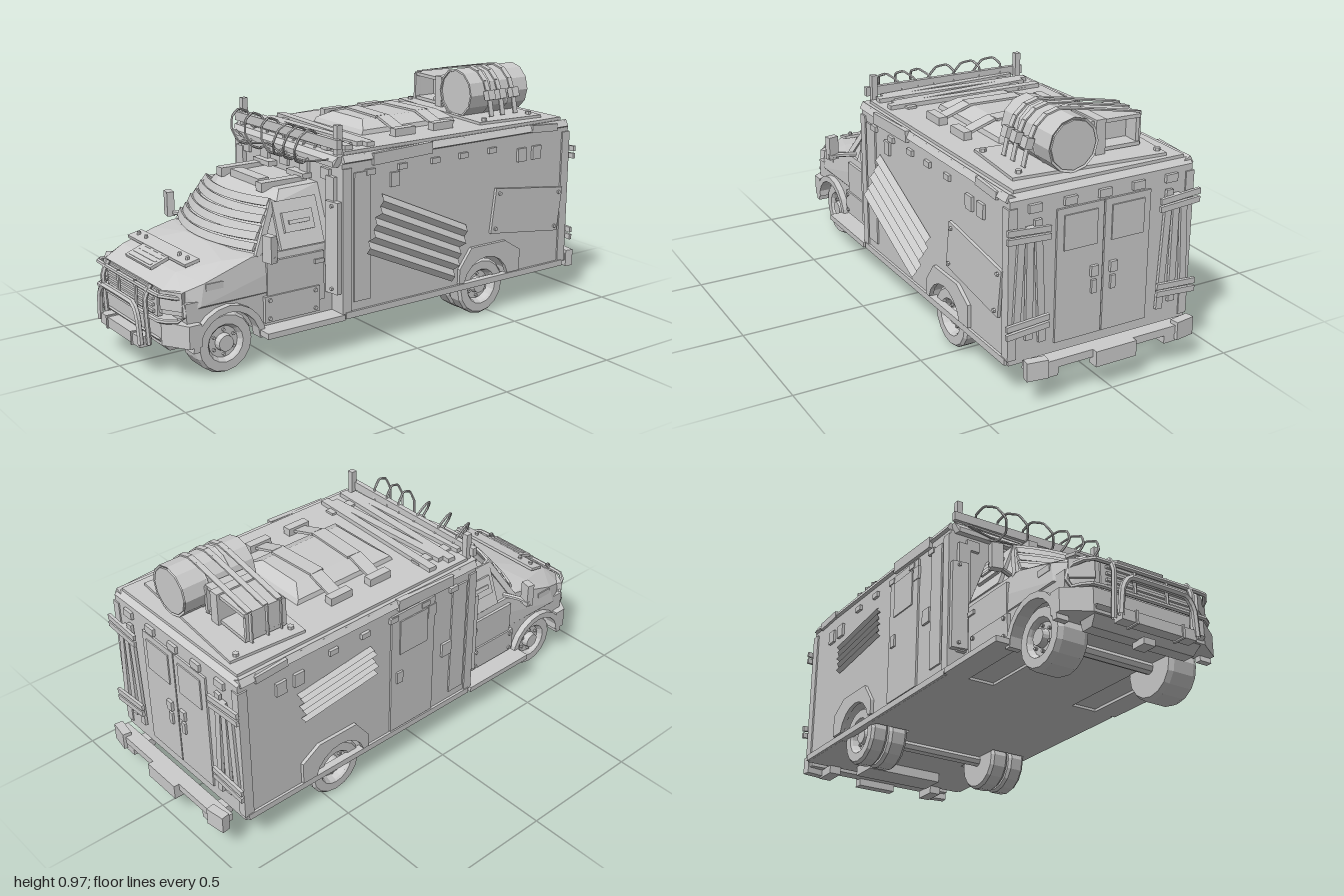
import * as THREE from 'three';
import { ConvexGeometry } from 'three/addons/geometries/ConvexGeometry.js';

const V = (x, y, z) => new THREE.Vector3(x, y, z);
const SIDES = [1, -1];

export function createModel() {
  const root = new THREE.Group(), vehicle = new THREE.Group();
  vehicle.name = 'vehicle';
  vehicle.position.x = -0.012; // loose gear makes the left side stick out further
  root.add(vehicle);
  const mat = new THREE.MeshStandardMaterial({ color: 0xcccccc, flatShading: true, side: THREE.DoubleSide });
  let parent = vehicle;
  const add = (name, geo, x = 0, y = 0, z = 0, rx = 0, ry = 0, rz = 0) => {
    const m = new THREE.Mesh(geo, mat);
    m.name = name;
    m.position.set(x, y, z);
    m.rotation.set(rx, ry, rz);
    parent.add(m);
    return m;
  };
  const box = (name, w, h, d, x, y, z, rx, ry, rz) => add(name, new THREE.BoxGeometry(w, h, d), x, y, z, rx, ry, rz);
  const cyl = (name, r, h, n, x, y, z, rx, ry, rz) => add(name, new THREE.CylinderGeometry(r, r, h, n), x, y, z, rx, ry, rz);
  // convex solid mirrored about x = 0
  const hull = (name, pts) => add(name, new ConvexGeometry(pts.flatMap(([x, y, z]) => [V(x, y, z), V(-x, y, z)])));
  // pipe through points with tight corners
  const pipe = (name, pts, r, closed = false) => {
    const curve = new THREE.CatmullRomCurve3(pts.map(p => V(...p)), closed, 'catmullrom', 0.15);
    return add(name, new THREE.TubeGeometry(curve, pts.length * 4, r, 6, closed));
  };
  // flat bar between two points
  const bar = (name, a, b, w, t) => {
    const p = V(...a), q = V(...b);
    const m = box(name, w, t, p.distanceTo(q), 0, 0, 0);
    m.position.copy(p).lerp(q, 0.5);
    m.quaternion.setFromRotationMatrix(new THREE.Matrix4().lookAt(q, p, V(0, 1, 0)));
    return m;
  };
  // side outline (z, y) extruded across the vehicle
  const sideSolid = (name, pts, width, x = 0) => {
    const g = new THREE.ExtrudeGeometry(new THREE.Shape(pts.map(p => new THREE.Vector2(...p))), { depth: width, bevelEnabled: false });
    g.translate(0, 0, -width / 2).rotateY(-Math.PI / 2);
    return add(name, g, x);
  };
  const arch = (cz, cy, r, a0, a1, n = 8) => Array.from({ length: n + 1 }, (_, i) => {
    const a = a0 + (a1 - a0) * i / n;
    return [cz + r * Math.cos(a), cy + r * Math.sin(a)];
  });

  // ---- rear body with wheel wells
  const well = arch(-0.45, 0.13, 0.125, Math.PI, 0);
  sideSolid('rearBody', [[-0.89, 0.13], ...well, [0.255, 0.13], [0.255, 0.725], [0.23, 0.755], [-0.87, 0.755], [-0.89, 0.735]], 0.75);
  box('underbody', 0.4, 0.17, 1.1, 0, 0.215, -0.32);
  box('cabFloor', 0.36, 0.16, 0.6, 0, 0.21, 0.53);
  box('roofCap', 0.7, 0.02, 1.1, 0, 0.757, -0.32);
  for (const s of SIDES) {
    box('roofRail', 0.03, 0.03, 1.13, s * 0.366, 0.74, -0.315, 0, 0, s * 0.5);
    box('roofEdgeBoard', 0.022, 0.045, 0.28, s * 0.378, 0.735, -0.02, 0.03);
    box('roofRearBoard', 0.018, 0.03, 0.14, s * 0.378, 0.74, -0.75, -0.06);
    box('bottomSkirt', 0.03, 0.025, 1.12, s * 0.37, 0.143, -0.32);
    box('step', 0.1, 0.022, 0.34, s * 0.34, 0.14, 0.42);
    for (const z of [0.235, -0.875]) box('cornerPost', 0.035, 0.56, 0.04, s * 0.364, 0.43, z);
    box('sideFrontPanel', 0.012, 0.5, 0.075, s * 0.376, 0.44, 0.165);
    box('frontCornerArmour', 0.065, 0.355, 0.025, s * 0.343, 0.408, 0.27, 0, s * 0.15);
    for (const y of [0.25, 0.57]) cyl('armourBolt', 0.007, 0.012, 6, s * 0.35, y, 0.284, Math.PI / 2);
    box('frontInnerPost', 0.05, 0.45, 0.02, s * 0.32, 0.45, 0.262);
    for (const z of [-0.63, -0.71]) box('sideLamp', 0.012, 0.055, 0.045, s * 0.38, 0.645, z);
    for (const z of [0.13, -0.02, -0.18, -0.32, -0.47]) box('markerLamp', 0.014, 0.022, 0.04, s * 0.38, 0.685, z);
    box('cornerLamp', 0.012, 0.055, 0.04, s * 0.38, 0.64, 0.015);
    // rear wheel arch plates
    sideSolid('rearArchPlate', [[-0.63, 0.16], [-0.57, 0.16], ...arch(-0.45, 0.13, 0.12, Math.PI * 0.92, Math.PI * 0.08),
      [-0.31, 0.16], [-0.31, 0.22], [-0.37, 0.3], [-0.55, 0.3], [-0.63, 0.25]], 0.018, s * 0.38);
  }
  for (const x of [-0.28, -0.14, 0, 0.14, 0.28]) {
    box('frontMarkerLamp', 0.055, 0.042, 0.02, x, 0.677, 0.258);
    box('rearMarkerLamp', 0.05, 0.03, 0.02, x, 0.7, -0.892);
  }
  hull('frontVisor', [[0.365, 0.755, 0.2], [0.365, 0.755, 0.265], [0.37, 0.715, 0.2], [0.35, 0.715, 0.28], [0.35, 0.735, 0.28]]);

  // ---- cab: lower shell, hood and glasshouse
  sideSolid('lowerCab', [[0.25, 0.14], [0.57, 0.14], ...arch(0.715, 0.12, 0.13, Math.PI * 0.95, Math.PI * 0.07), [0.87, 0.16], [0.88, 0.3], [0.25, 0.3]], 0.62);
  hull('hood', [[0.31, 0.28, 0.25], [0.315, 0.28, 0.82], [0.29, 0.25, 0.88], [0.22, 0.25, 0.925], [0.305, 0.42, 0.25], [0.3, 0.42, 0.6],
    [0.305, 0.36, 0.8], [0.285, 0.335, 0.88], [0.26, 0.415, 0.7], [0.08, 0.435, 0.66], [0.21, 0.39, 0.86], [0.23, 0.34, 0.925]]);
  hull('glasshouse', [[0.3, 0.41, 0.25], [0.293, 0.41, 0.57], [0.2, 0.415, 0.625], [0.08, 0.42, 0.65], [0.235, 0.585, 0.45], [0.12, 0.595, 0.5],
    [0.205, 0.625, 0.42], [0.215, 0.63, 0.25]]);
  for (let i = 0; i < 6; i++) { // bowed armour slats over the windscreen
    const y = 0.452 + i * 0.027, g = new THREE.BoxGeometry(0.56 - i * 0.019, 0.031, 0.01, 8, 1, 1);
    g.rotateX(-0.45);
    const p = g.attributes.position;
    for (let k = 0; k < p.count; k++) p.setZ(k, p.getZ(k) - 0.95 * p.getX(k) ** 2);
    add('windscreenSlat', g, 0, y, 0.677 - (y - 0.42) * 0.86, 0, 0, (i % 2 - 0.5) * 0.03);
  }
  box('hoodPlate', 0.45, 0.012, 0.06, 0, 0.415, 0.8, 0.2);
  box('hoodVentFrame', 0.2, 0.012, 0.09, 0, 0.395, 0.86, 0.35);
  for (let i = 0; i < 4; i++) box('hoodVentSlat', 0.17, 0.012, 0.01, 0, 0.407 - i * 0.007, 0.83 + i * 0.02, 0.35);
  for (const x of [-0.19, -0.13, 0.13, 0.19]) cyl('hoodBolt', 0.008, 0.02, 6, x, 0.422, 0.8);
  for (const s of SIDES) {
    box('windscreenPillar', 0.014, 0.22, 0.025, s * 0.263, 0.505, 0.52, -0.53, 0, s * 0.3);
    box('doorWindowFrame', 0.018, 0.18, 0.19, s * 0.266, 0.505, 0.38, 0, 0, s * 0.36);
    box('doorWindowPlate', 0.02, 0.075, 0.13, s * 0.274, 0.515, 0.385, 0, 0, s * 0.36);
    box('windowSlot', 0.02, 0.015, 0.09, s * 0.281, 0.515, 0.385, 0, 0, s * 0.36);
    box('doorPanel', 0.014, 0.19, 0.25, s * 0.31, 0.3, 0.42);
    box('doorArmour', 0.014, 0.1, 0.24, s * 0.317, 0.215, 0.44);
    for (const z of [0.34, 0.54]) for (const y of [0.18, 0.25]) cyl('doorRivet', 0.008, 0.012, 6, s * 0.325, y, z, 0, 0, Math.PI / 2);
    box('doorHandle', 0.014, 0.016, 0.04, s * 0.318, 0.36, 0.32);
    box('fenderVent', 0.012, 0.025, 0.07, s * 0.305, 0.345, 0.76);
    const ring = [...arch(0.715, 0.12, 0.15, 0, Math.PI, 10), ...arch(0.715, 0.12, 0.125, Math.PI, 0, 10)];
    sideSolid('fenderFlare', ring, 0.05, s * 0.31);
    // mirror on its arm
    pipe('mirrorArm', [[s * 0.28, 0.43, 0.53], [s * 0.35, 0.43, 0.56], [s * 0.4, 0.43, 0.56]], 0.01);
    box('mirror', 0.045, 0.1, 0.03, s * 0.377, 0.465, 0.57, 0, s * 0.2);
    box('roofBar', 0.04, 0.035, 0.2, s * 0.145, 0.628, 0.37);
    box('roofBarBracket', 0.115, 0.02, 0.04, s * 0.12, 0.648, 0.275);
    box('headlamp', 0.09, 0.07, 0.05, s * 0.25, 0.305, 0.89, 0, s * 0.55);
  }
  box('roofLightBar', 0.2, 0.03, 0.05, 0, 0.63, 0.42);

  // ---- front end: grille, bumper and bull bar
  box('grilleFrame', 0.4, 0.1, 0.02, 0, 0.285, 0.922);
  for (let i = 0; i < 4; i++) box('grilleBar', 0.36, 0.01, 0.02, 0, 0.25 + i * 0.024, 0.932);
  hull('frontBumper', [[0.335, 0.14, 0.83], [0.335, 0.225, 0.83], [0.335, 0.14, 0.88], [0.335, 0.225, 0.88], [0.24, 0.14, 0.94], [0.24, 0.23, 0.94]]);
  hull('skidPlate', [[0.235, 0.165, 0.952], [0.22, 0.105, 0.9], [0.235, 0.165, 0.85], [0.22, 0.105, 0.85]]);
  box('towBlock', 0.05, 0.025, 0.06, 0, 0.095, 0.9);
  box('bullBarBase', 0.32, 0.04, 0.045, 0, 0.135, 0.965);
  pipe('bullBarHoop', [[-0.165, 0.13, 0.985], [-0.155, 0.23, 0.988], [-0.12, 0.275, 0.988], [0.12, 0.275, 0.988], [0.155, 0.23, 0.988], [0.165, 0.13, 0.985]], 0.012);
  pipe('bullBarRails', [[-0.29, 0.235, 0.89], [-0.24, 0.235, 0.95], [0.24, 0.235, 0.95], [0.29, 0.235, 0.89], [0.305, 0.25, 0.88],
    [0.29, 0.315, 0.88], [0.24, 0.33, 0.95], [-0.24, 0.33, 0.95], [-0.29, 0.315, 0.88], [-0.305, 0.25, 0.88]], 0.009, true);
  for (const s of SIDES) {
    pipe('bullBarPost', [[s * 0.17, 0.125, 0.955], [s * 0.17, 0.3, 0.965], [s * 0.17, 0.35, 0.94]], 0.01);
    pipe('bullBarStay', [[s * 0.07, 0.23, 0.95], [s * 0.07, 0.34, 0.95]], 0.007);
    box('bullBarClamp', 0.01, 0.05, 0.055, s * 0.1, 0.135, 0.965);
  }

  // ---- wheels
  const wheel = (name, s, x, z, width, dish) => {
    const h = width / 2, r = 0.117;
    const prof = [[0, -h], [0.075, -h], [r * 0.92, -h], [r, -h * 0.7], [r, h * 0.7], [r * 0.92, h], [0.073, h], [0.066, h - 0.008],
      [0.06, h - dish], [0.034, h - dish], [0.03, h - dish + 0.025], [0, h - dish + 0.025]];
    const g = new THREE.LatheGeometry(prof.map(p => new THREE.Vector2(...p)), 16);
    const m = add(name, g, s * x, 0.117, z, 0, 0, -s * Math.PI / 2);
    for (let i = 0; i < 6; i++) {
      const a = i * Math.PI / 3, nut = new THREE.Mesh(new THREE.CylinderGeometry(0.006, 0.006, 0.02, 6), mat);
      nut.name = 'wheelNut';
      nut.position.set(0.047 * Math.cos(a), h - dish, 0.047 * Math.sin(a));
      m.add(nut);
    }
  };
  for (const s of SIDES) {
    wheel('frontWheel', s, 0.238, 0.715, 0.125, 0.02);
    wheel('rearOuterWheel', s, 0.326, -0.45, 0.072, 0.035);
    wheel('rearInnerWheel', s, 0.243, -0.45, 0.08, 0.02);
  }
  for (const z of [0.715, -0.45]) cyl('axle', 0.024, 0.5, 8, 0, 0.117, z, 0, 0, Math.PI / 2);

  // ---- riveted patch and corrugated sheets on the sides (s = side, tilt turns them in the wall)
  const patch = (s, w, h, x, y, z, tilt) => {
    const g = new THREE.Group();
    g.name = 'sidePatch';
    g.position.set(s * x, y, z);
    g.rotation.set(0, s * Math.PI / 2, tilt);
    vehicle.add(g);
    parent = g;
    box('patchPlate', w, h, 0.012, 0, 0, 0);
    for (const i of SIDES) for (const j of SIDES) cyl('rivet', 0.008, 0.012, 6, i * (w / 2 - 0.02), j * (h / 2 - 0.02), 0.008, Math.PI / 2);
    parent = vehicle;
  };
  const corrugated = (s, w, h, x, y, z, tilt, lean) => {
    const g = new THREE.PlaneGeometry(w, h, 2, 10), p = g.attributes.position;
    for (let k = 0; k < p.count; k++) {
      const row = Math.floor(k / 3);
      p.setZ(k, (row % 2 ? 0.012 : -0.004) + lean * row);
      p.setX(k, p.getX(k) + (row % 4 - 1.5) * 0.005);
    }
    add('corrugatedSheet', g, s * x, y, z, 0, s * Math.PI / 2, tilt);
  };
  corrugated(1, 0.46, 0.23, 0.387, 0.39, -0.09, -0.43, 0.0025);
  patch(1, 0.37, 0.185, 0.382, 0.41, -0.665, -0.13);
  corrugated(-1, 0.35, 0.14, 0.382, 0.53, -0.45, 0.12, 0.0005);
  // side entry door
  box('sideDoor', 0.012, 0.54, 0.22, -0.377, 0.43, -0.08);
  box('sideDoorWindow', 0.012, 0.15, 0.14, -0.382, 0.59, -0.08);
  box('sideDoorHandle', 0.016, 0.05, 0.03, -0.383, 0.41, -0.15);
  box('lockerPatch', 0.01, 0.06, 0.05, -0.383, 0.42, 0.1);

  // ---- rear doors, boards and bumper
  for (const s of SIDES) {
    box('rearDoor', 0.19, 0.5, 0.014, s * 0.098, 0.425, -0.891);
    box('rearWindow', 0.135, 0.13, 0.012, s * 0.098, 0.585, -0.897);
    box('rearHandle', 0.03, 0.04, 0.02, s * 0.04, 0.42, -0.9);
    box('rearLowerLatch', 0.02, 0.05, 0.014, s * 0.04, 0.36, -0.9);
    for (let i = 0; i < 3; i++) box('verticalBoard', 0.028, 0.46 - i * 0.04, 0.012, s * (0.26 + i * 0.042), 0.43, -0.9, 0, 0, s * (i - 1) * 0.05);
    for (const y of [0.6, 0.63, 0.26, 0.29]) box('crossBoard', 0.17, 0.022, 0.012, s * 0.312, y, -0.912, 0, 0, s * (y - 0.45) * 0.4);
    box('bumperEnd', 0.08, 0.07, 0.035, s * 0.31, 0.14, -0.965, 0, -s * 0.15);
    box('bumperBracket', 0.05, 0.035, 0.1, s * 0.25, 0.115, -0.925);
  }
  box('rearBumper', 0.68, 0.03, 0.055, 0, 0.145, -0.95);
  box('rearStep', 0.17, 0.06, 0.04, 0, 0.13, -0.98);
  box('rearFrame', 0.34, 0.045, 0.12, 0, 0.113, -0.77);

  // ---- roof: hatch, straps, planks
  parent = root;
  hull('roofHatch', [[0.165, 0.765, 0.01], [0.165, 0.765, -0.46], [0.16, 0.785, 0], [0.16, 0.785, -0.45], [0.1, 0.815, -0.04], [0.1, 0.815, -0.41]])
    .position.x = -0.015;
  for (const [z, t] of [[-0.32, 0.06], [-0.13, -0.05]]) {
    box('hatchStrap', 0.22, 0.01, 0.06, -0.01, 0.818, z, 0, t);
    for (const s of SIDES) {
      bar('hatchStrapSide', [s * 0.11 - 0.01, 0.818, z], [s * 0.24 - 0.01, 0.775, z], 0.055, 0.01);
      box('strapAnchor', 0.035, 0.035, 0.1, s * 0.238 - 0.01, 0.78, z);
    }
  }
  [0.08, 0.13, 0.18, 0.23].forEach((z, i) => box('roofPlank', 0.66 - (i % 2) * 0.06, 0.018, 0.035, -0.01, 0.775, z, 0, (i % 2 - 0.5) * 0.08));
  for (const x of [-0.26, 0.24]) box('plankSupport', 0.04, 0.016, 0.2, x, 0.768, 0.15);

  // ---- front roof barricade with wire loops
  box('barricadeBeam', 0.72, 0.036, 0.02, -0.015, 0.793, 0.255, 0, 0, 0.012);
  for (const x of [-0.345, 0.315]) box('barricadePost', 0.024, 0.12, 0.024, x, 0.805, 0.24);
  [-0.24, -0.14, -0.02, 0.06, 0.13, 0.205].forEach((x, i) => {
    const lean = i < 3 ? 0.03 : -0.02;
    const pts = arch(0.308, 0.773, 0.066, 0, Math.PI * 1.75, 7).map(([z, y], k) =>
      [x + 0.025 * Math.cos(k * Math.PI / 4) - lean * Math.sin(k * Math.PI / 4), y, z]);
    pipe('wireLoop', pts, 0.005, true);
  });
  pipe('wireStrand', [[-0.33, 0.74, 0.29], [-0.2, 0.712, 0.3], [-0.08, 0.73, 0.29], [0.04, 0.71, 0.3], [0.2, 0.715, 0.3], [0.31, 0.74, 0.28]], 0.004);

  // ---- rear roof cargo: plate, barrel, crate, straps
  box('cargoPlate', 0.6, 0.012, 0.31, -0.015, 0.772, -0.67, 0, -0.09);
  for (const i of SIDES) for (const j of SIDES) cyl('plateBolt', 0.012, 0.015, 6, i * 0.27 - 0.015, 0.782, -0.67 + j * 0.12 + i * 0.025);
  const barrel = [[0, -0.155], [0.09, -0.155], [0.09, -0.148], [0.1, -0.155], [0.1, -0.055], [0.103, -0.05], [0.1, -0.045], [0.1, 0.045],
    [0.103, 0.05], [0.1, 0.055], [0.1, 0.155], [0.092, 0.155], [0.092, 0.148], [0, 0.148]];
  add('barrel', new THREE.LatheGeometry(barrel.map(p => new THREE.Vector2(...p)), 12), 0.078, 0.865, -0.675, Math.PI / 2);
  for (const y of [0.79, 0.893]) box('crateBoard', 0.24, 0.014, 0.17, -0.14, y, -0.66, 0, -0.05);
  for (const x of [-0.253, -0.027]) box('crateSide', 0.014, 0.11, 0.17, x, 0.84, -0.66, 0, -0.05);
  box('crateBack', 0.22, 0.1, 0.01, -0.14, 0.84, -0.67, 0, -0.05);
  bar('crateBrace', [-0.04, 0.885, -0.585], [-0.13, 0.8, -0.585], 0.014, 0.014);
  box('crateStrap', 0.04, 0.13, 0.19, -0.085, 0.842, -0.66);
  const strap = [[-0.26, 0.78], [-0.26, 0.903], [0.035, 0.962], [0.08, 0.968], [0.13, 0.955], [0.17, 0.92], [0.195, 0.865], [0.215, 0.78]];
  for (const z of [-0.6, -0.66, -0.73]) {
    for (let i = 1; i < strap.length; i++) bar('cargoStrap', [...strap[i - 1], z], [...strap[i], z], 0.022, 0.006);
    box('strapBuckle', 0.03, 0.04, 0.035, 0.2, 0.865, z, 0, 0, 0.3);
  }
  return root;
}
